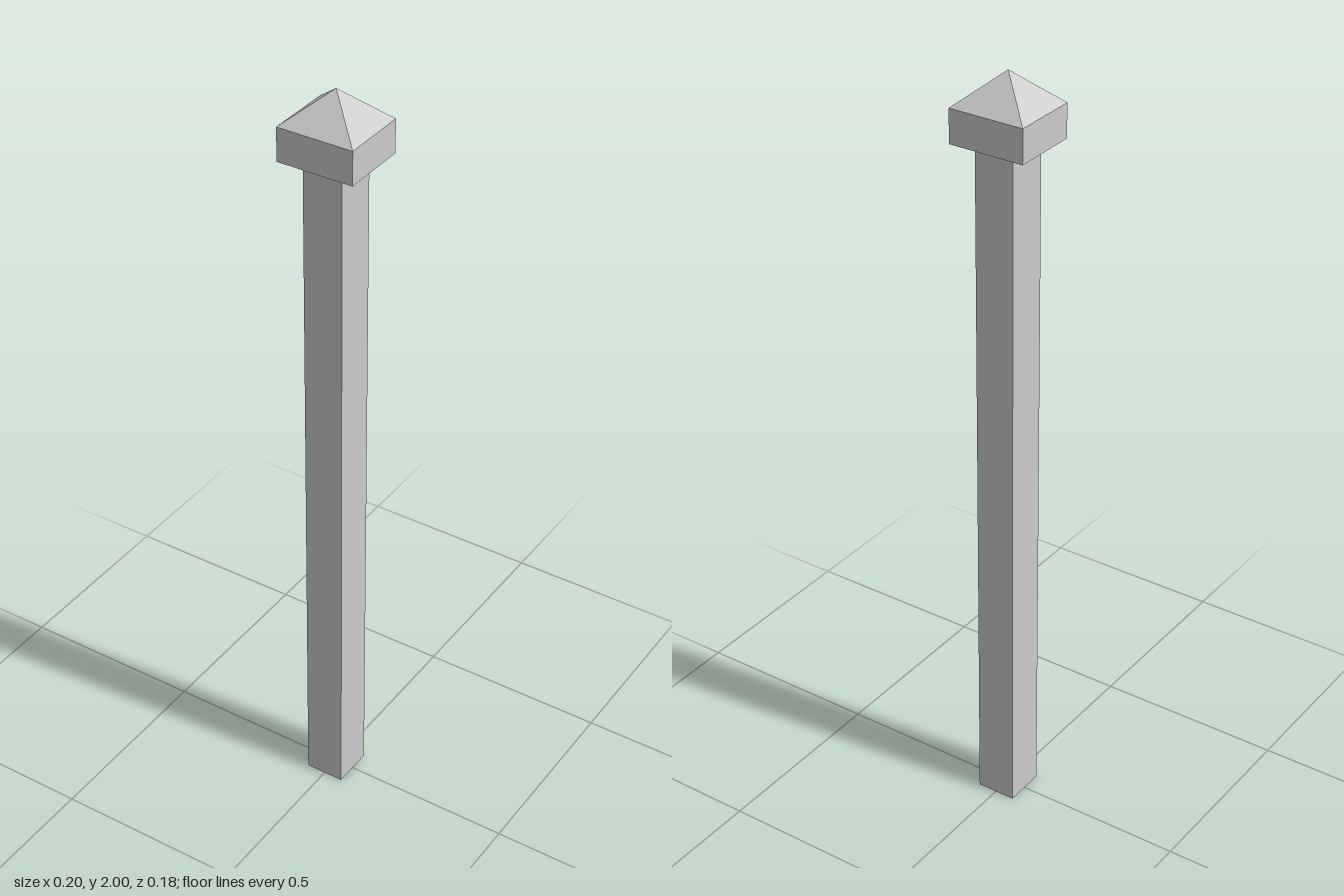
import * as THREE from 'three';

const material = new THREE.MeshStandardMaterial({
  color: 0xcccccc, flatShading: true, side: THREE.DoubleSide,
});

// Four-sided shell through rectangular sections [halfWidth, halfDepth, y], listed bottom to top
function rectLoft(name, sections) {
  const corners = [[1, 1], [1, -1], [-1, -1], [-1, 1]];
  const positions = [];
  const point = ([hx, hz, y], i) => {
    const [sx, sz] = corners[i % 4];
    return [sx * hx, y, sz * hz];
  };
  for (let s = 0; s < sections.length - 1; s++) {
    const low = sections[s], high = sections[s + 1];
    for (let i = 0; i < 4; i++) {
      const a = point(low, i), b = point(low, i + 1);
      const c = point(high, i + 1), d = point(high, i);
      positions.push(...a, ...b, ...c);
      // a section of zero size is a point, so one triangle is enough
      if (high[0] > 0) positions.push(...a, ...c, ...d);
    }
  }
  const geometry = new THREE.BufferGeometry();
  geometry.setAttribute('position', new THREE.Float32BufferAttribute(positions, 3));
  geometry.computeVertexNormals();
  const mesh = new THREE.Mesh(geometry, material);
  mesh.name = name;
  return mesh;
}

export function createModel() {
  const model = new THREE.Group();
  model.name = 'fencePost';

  // Hollow post, open at the foot
  model.add(rectLoft('post', [[0.052, 0.056, 0], [0.052, 0.056, 1.817]]));

  // Cap: sloped underside, upright band and pyramid top
  model.add(rectLoft('cap', [
    [0.052, 0.056, 1.817],
    [0.1, 0.088, 1.828],
    [0.1, 0.088, 1.915],
    [0, 0, 2],
  ]));

  return model;
}
